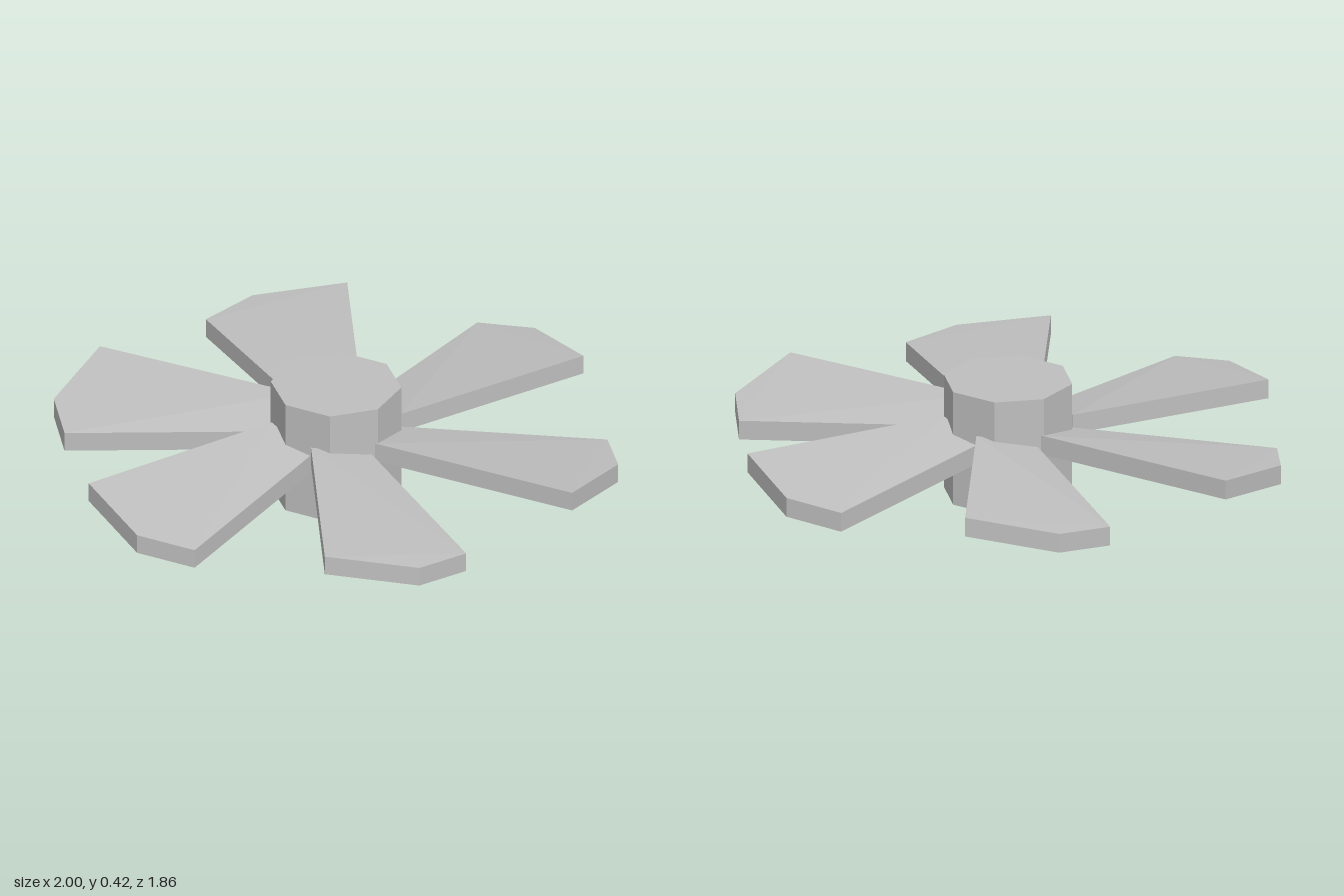
import * as THREE from 'three';

const BLADES = 6;
const THICKNESS = 0.07;

// Outline of one blade's upper face, from the raised root round to the lowered root
const OUTLINE = [
  [0.19, 0.285, 0.12],
  [0.95, 0.28, 0.2],
  [1.0, 0.232, -0.125],
  [0.892, 0.213, -0.308],
  [0.19, 0.243, -0.09],
];

// Pitched, slightly twisted slab with a pointed tip
function bladeGeometry() {
  const n = OUTLINE.length;
  const lower = OUTLINE.map(([x, y, z]) => [x, y - THICKNESS, z]);
  const index = [];
  for (const [a, b, c] of [[1, 2, 3], [0, 1, 3], [0, 3, 4]]) {
    index.push(a, b, c, n + a, n + c, n + b);
  }
  for (let i = 0; i < n; i++) {
    const j = (i + 1) % n;
    index.push(i, n + i, n + j, i, n + j, j);
  }
  const indexed = new THREE.BufferGeometry();
  indexed.setAttribute('position', new THREE.Float32BufferAttribute([...OUTLINE, ...lower].flat(), 3));
  indexed.setIndex(index);
  const geometry = indexed.toNonIndexed();
  geometry.computeVertexNormals();
  return geometry;
}

export function createModel() {
  const group = new THREE.Group();
  group.name = 'fan';

  const grey = new THREE.MeshStandardMaterial({ color: 0xbfbfbf, flatShading: true });
  grey.name = 'grey';

  // Octagonal hub
  const hub = new THREE.Mesh(new THREE.CylinderGeometry(0.228, 0.228, 0.42, 8), grey);
  hub.name = 'hub';
  hub.position.y = 0.21;
  group.add(hub);

  // Ring of blades
  const geometry = bladeGeometry();
  for (let i = 0; i < BLADES; i++) {
    const blade = new THREE.Mesh(geometry, grey);
    blade.name = `blade${i + 1}`;
    blade.rotation.y = (i / BLADES) * Math.PI * 2;
    group.add(blade);
  }
  return group;
}
